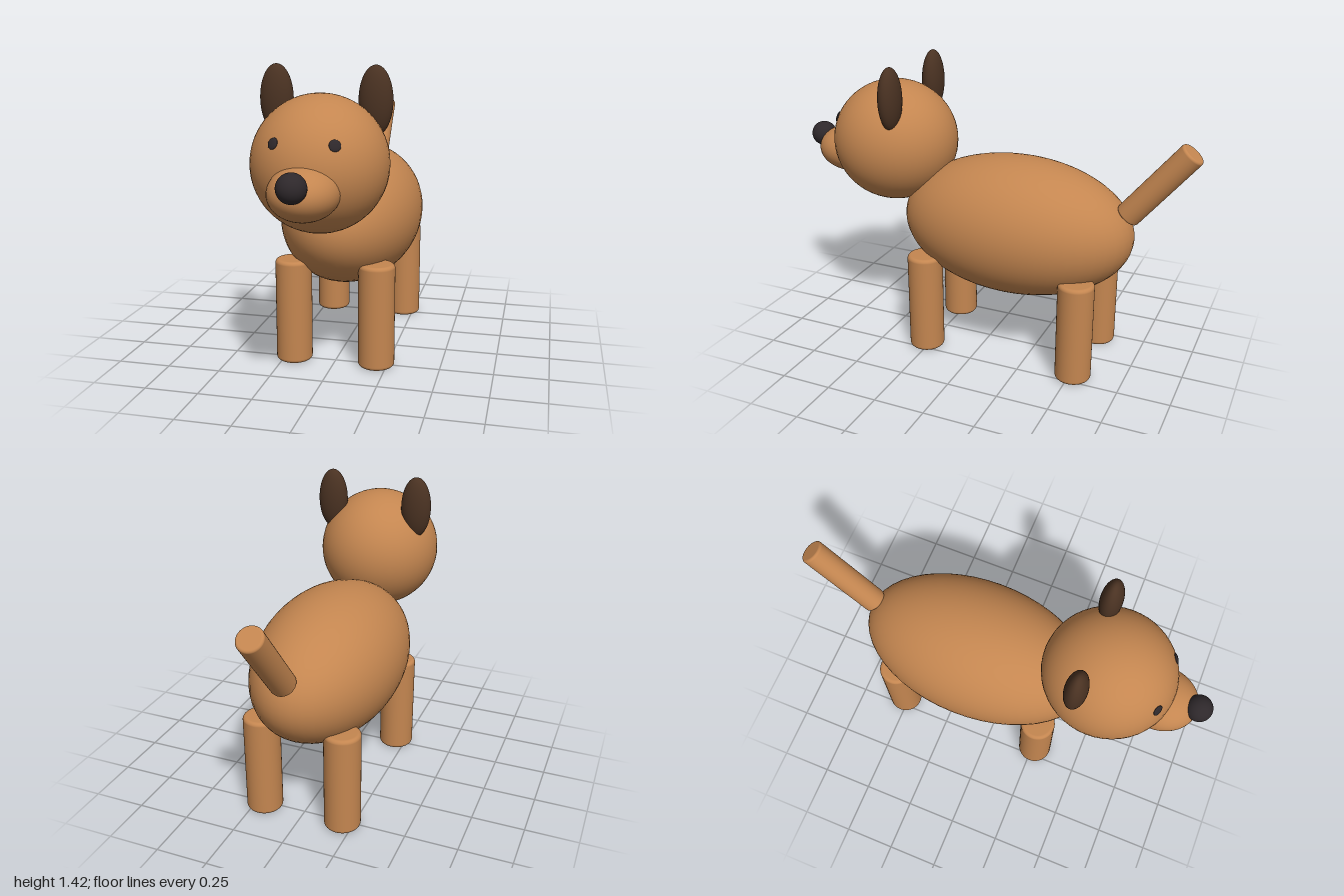
import * as THREE from 'three';

const material = (name, color) => {
  const m = new THREE.MeshStandardMaterial({ color });
  m.name = name;
  return m;
};

export function createModel() {
  const tan = material('tan fur', 0xc48650);
  const brown = material('dark brown fur', 0x4a3222);
  const black = material('soft black', 0x2e282b);

  const model = new THREE.Group();
  model.name = 'dog';

  const add = (name, geometry, mat, position) => {
    const mesh = new THREE.Mesh(geometry, mat);
    mesh.name = name;
    mesh.position.set(...position);
    model.add(mesh);
    return mesh;
  };

  const ellipsoid = (name, mat, position, radii) =>
    add(name, new THREE.SphereGeometry(1, 48, 32).scale(...radii), mat, position);

  // Upright cylinder with softly rounded rims, centred on its middle
  const roundedCylinder = (radius, height, bevel) => {
    const h = height / 2;
    const profile = [new THREE.Vector2(0, -h)];
    for (const side of [-1, 1]) {
      for (let i = 0; i <= 5; i++) {
        const a = (side < 0 ? i - 5 : i) / 5 * Math.PI / 2;
        profile.push(new THREE.Vector2(
          radius - bevel + bevel * Math.cos(a),
          side * (h - bevel) + bevel * Math.sin(a)));
      }
    }
    profile.push(new THREE.Vector2(0, h));
    return new THREE.LatheGeometry(profile, 40);
  };

  // Trunk and head
  ellipsoid('body', tan, [0, 0.655, -0.14], [0.34, 0.338, 0.58]);
  ellipsoid('head', tan, [0, 1.004, 0.51], [0.299, 0.299, 0.31]);
  ellipsoid('muzzle', tan, [0, 0.927, 0.765], [0.15, 0.117, 0.176]);
  ellipsoid('nose', black, [0, 0.98, 0.938], [0.062, 0.062, 0.062]);

  for (const [side, s] of [['left', 1], ['right', -1]]) {
    ellipsoid(`${side}Ear`, brown, [s * 0.22, 1.266, 0.41], [0.075, 0.151, 0.051]);

    // Eyes lie flat against the curve of the head
    const eye = ellipsoid(`${side}Eye`, black, [s * 0.128, 1.122, 0.762], [0.025, 0.025, 0.007]);
    eye.lookAt(s * 0.256, 1.24, 1.01);

    // Legs
    for (const [end, z] of [['Front', 0.262], ['Back', -0.517]]) {
      add(`${side}${end}Leg`, roundedCylinder(0.086, 0.5, 0.018), tan, [s * 0.2, 0.25, z]);
    }
  }

  // Tail slants up and backward
  const base = new THREE.Vector3(0, 0.782, -0.683);
  const tip = new THREE.Vector3(0, 1.12, -0.96);
  const middle = base.clone().lerp(tip, 0.5);
  const tail = add('tail', roundedCylinder(0.06, base.distanceTo(tip), 0.012), tan, middle.toArray());
  tail.quaternion.setFromUnitVectors(new THREE.Vector3(0, 1, 0), tip.clone().sub(base).normalize());

  return model;
}
